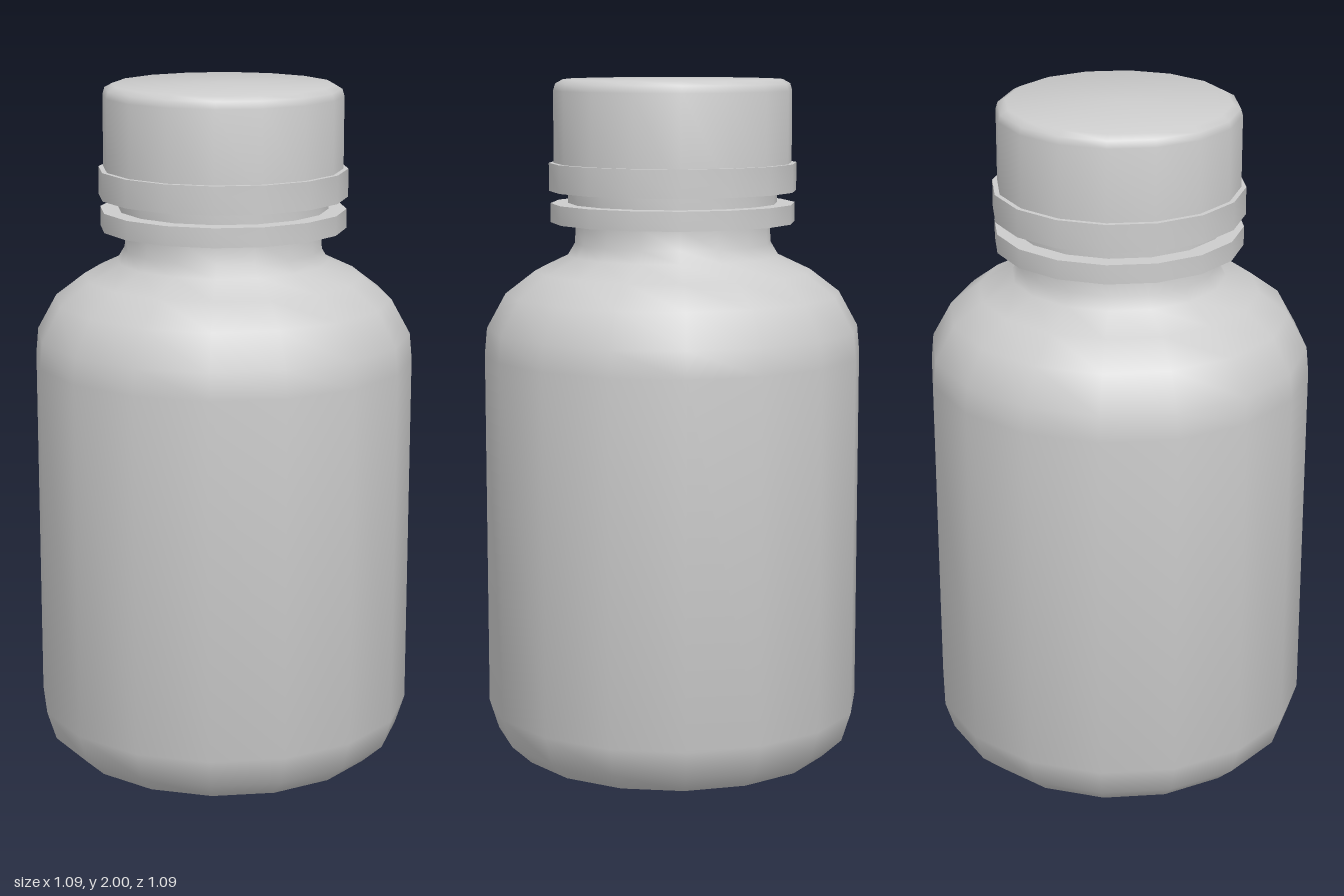
import * as THREE from 'three';
import { toCreasedNormals } from 'three/addons/utils/BufferGeometryUtils.js';

const SIDES = 16;

export function createModel() {
  const group = new THREE.Group();
  group.name = 'bottle';
  const plastic = new THREE.MeshStandardMaterial({ color: 0xcccccc });
  plastic.name = 'grey plastic';

  // Turn a [radius, height] profile, listed from bottom to top
  const turn = (name, profile) => {
    const points = profile.map(([r, y]) => new THREE.Vector2(r, y));
    const geometry = toCreasedNormals(new THREE.LatheGeometry(points, SIDES), 0.9);
    const mesh = new THREE.Mesh(geometry, plastic);
    mesh.name = name;
    group.add(mesh);
  };

  // Closed ring with square edges
  const ring = (name, inner, outer, bottom, top) =>
    turn(name, [[inner, bottom], [outer, bottom], [outer, top], [inner, top]]);

  // Body with rounded base, sloping shoulder and neck
  turn('body', [
    [0, 0], [0.37, 0.003], [0.46, 0.03], [0.52, 0.085], [0.547, 0.17],
    [0.547, 1.21], [0.54, 1.285], [0.485, 1.385], [0.4, 1.45],
    [0.305, 1.495], [0.284, 1.53], [0.28, 1.59], [0.28, 1.66],
  ]);

  // Collar around the neck, and the thread just above it
  ring('neckCollar', 0.27, 0.353, 1.59, 1.645);
  ring('neckThread', 0.27, 0.302, 1.645, 1.69);

  // Tamper band below the cap
  ring('capBand', 0.27, 0.357, 1.68, 1.76);

  // Screw cap with a softened top edge
  turn('cap', [
    [0.28, 1.69], [0.343, 1.69], [0.343, 1.965], [0.337, 1.985], [0.315, 1.997], [0, 2],
  ]);

  return group;
}
